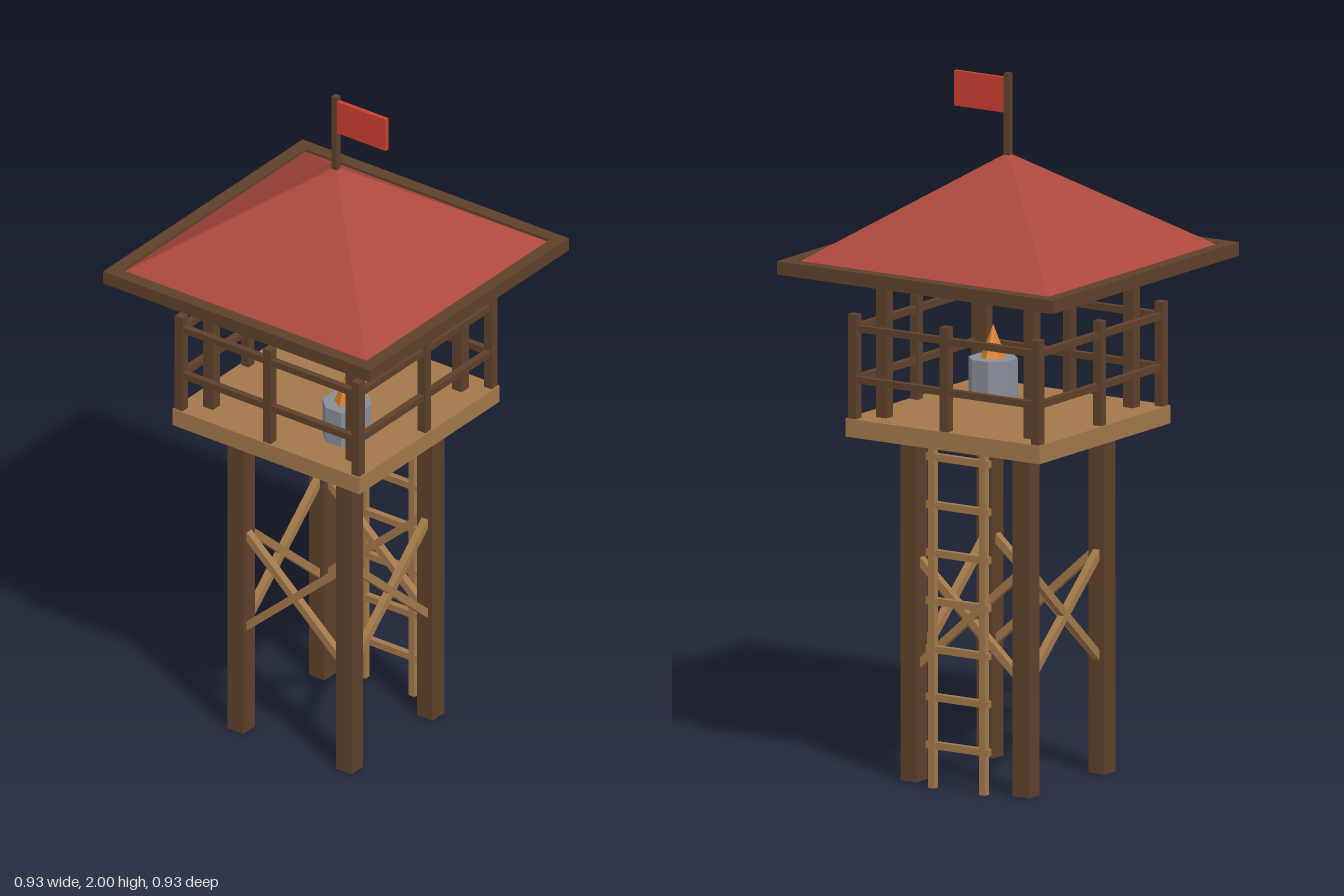
import * as THREE from 'three';

const mat = (name, color, flatShading = false) => {
  const m = new THREE.MeshStandardMaterial({ color, flatShading });
  m.name = name;
  return m;
};

export function createModel() {
  const darkWood = mat('dark wood', 0x5e402b);
  const lightWood = mat('light wood', 0xa3784a);
  const roofRed = mat('roof red', 0xab483c, true);
  const flagRed = mat('flag red', 0xcc3e32);
  const iron = mat('iron grey', 0x878d99, true);
  const fire = mat('flame orange', 0xd9822b, true);

  const tower = new THREE.Group();
  tower.name = 'watchtower';

  const add = (name, geometry, material, x, y, z, parent = tower) => {
    const mesh = new THREE.Mesh(geometry, material);
    mesh.name = name;
    mesh.position.set(x, y, z);
    parent.add(mesh);
    return mesh;
  };
  const box = (name, material, w, h, d, x, y, z, parent) =>
    add(name, new THREE.BoxGeometry(w, h, d), material, x, y, z, parent);

  // Legs and roof posts at the four corners
  for (const sx of [-1, 1]) {
    for (const sz of [-1, 1]) {
      box('leg', darkWood, 0.054, 0.985, 0.054, sx * 0.188, 0.4925, sz * 0.188);
      box('roofPost', darkWood, 0.034, 0.43, 0.034, sx * 0.247, 1.245, sz * 0.247);
    }
  }

  // Deck
  box('platform', lightWood, 0.65, 0.052, 0.65, 0, 1.01, 0);

  // Each side: crossed braces, railing and roof edge beam
  for (let i = 0; i < 4; i++) {
    const side = new THREE.Group();
    side.name = 'side';
    side.rotation.y = (i * Math.PI) / 2;
    tower.add(side);
    for (const s of [-1, 1]) {
      const brace = box('brace', lightWood, 0.49, 0.022, 0.022, 0, 0.481, 0.188, side);
      brace.rotation.z = s * 0.725;
    }
    box('cornerRailPost', darkWood, 0.027, 0.3, 0.027, 0.307, 1.183, 0.307, side);
    box('middleRailPost', darkWood, 0.027, 0.3, 0.027, 0, 1.183, 0.307, side);
    for (const y of [1.147, 1.293]) {
      box('rail', darkWood, 0.614, 0.019, 0.019, 0, y, 0.307, side);
    }
    box('roofEdge', darkWood, 0.887, 0.038, 0.039, -0.0195, 1.472, 0.4435, side);
  }

  // Ladder at the back
  const ladder = new THREE.Group();
  ladder.name = 'ladder';
  tower.add(ladder);
  for (const s of [-1, 1]) {
    box('ladderRail', lightWood, 0.02, 0.985, 0.02, s * 0.085, 0.4925, -0.246, ladder);
  }
  for (let i = 0; i < 7; i++) {
    box('rung', lightWood, 0.208, 0.02, 0.018, 0, 0.122 + i * 0.1367, -0.246, ladder);
  }

  // Pyramid roof
  const roof = new THREE.ConeGeometry(0.6, 0.291, 4);
  roof.rotateY(Math.PI / 4);
  add('roof', roof, roofRed, 0, 1.6285, 0);

  // Flag and pole
  box('flagPole', darkWood, 0.018, 0.25, 0.018, 0, 1.875, 0);
  box('flag', flagRed, 0.168, 0.1, 0.013, 0.093, 1.937, 0);

  // Signal fire in an iron drum
  const drum = new THREE.CylinderGeometry(0.07, 0.07, 0.11, 8);
  drum.rotateY(Math.PI / 8);
  add('fireDrum', drum, iron, 0.153, 1.09, 0.153);
  add('flame', new THREE.ConeGeometry(0.038, 0.1, 6), fire, 0.153, 1.19, 0.153);

  return tower;
}
